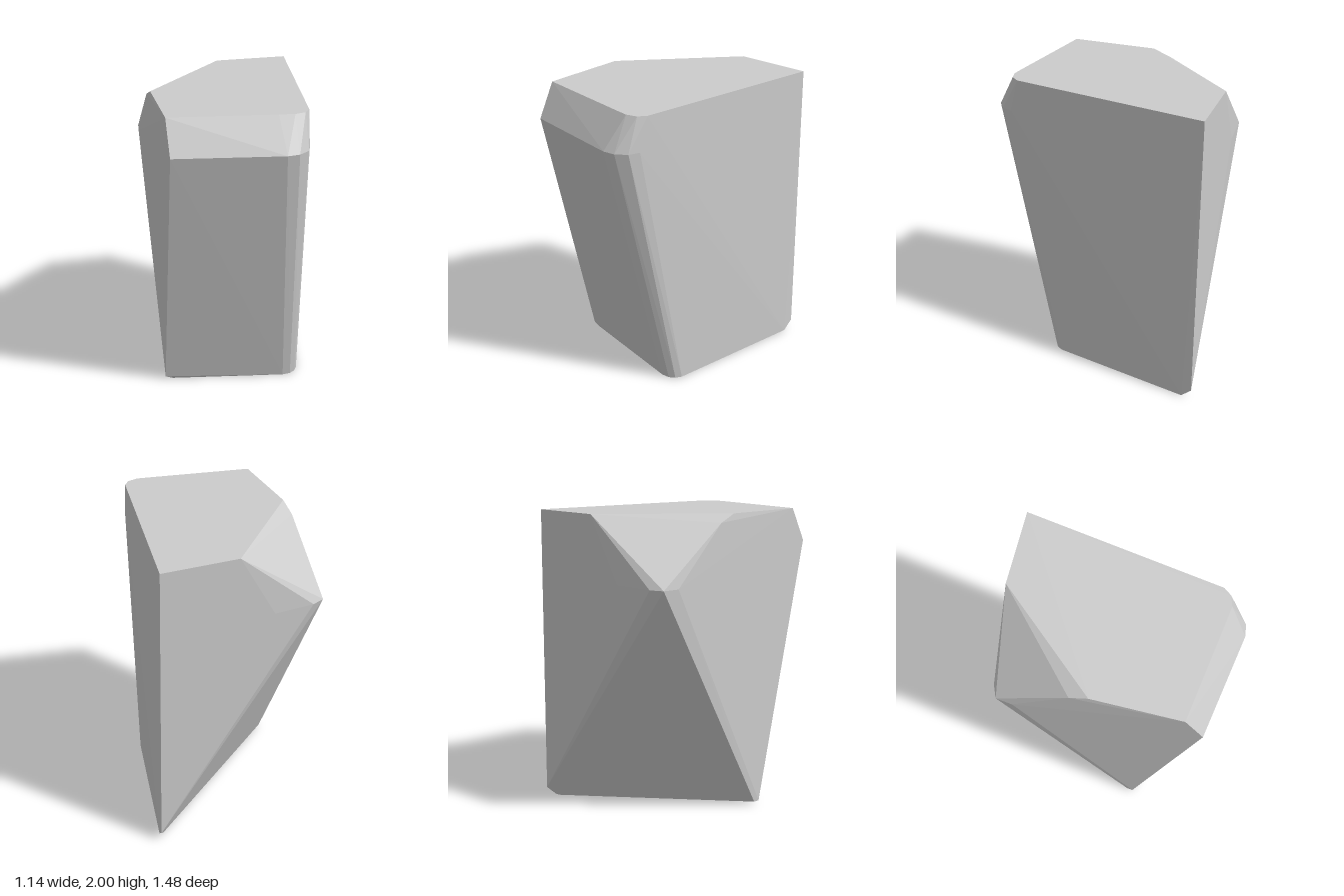
import * as THREE from 'three';
import { ConvexGeometry } from 'three/addons/geometries/ConvexGeometry.js';

// Corners at one height, given as [x, z] pairs
const ring = (y, pairs) => pairs.map(([x, z]) => new THREE.Vector3(x, y, z));

export function createModel() {
  const group = new THREE.Group();
  group.name = 'rock';

  const corners = [
    // flat top, with the back corner sliced off
    ...ring(2, [[-0.57, 0.495], [0.1, 0.605], [0.2, 0.62], [0.27, 0.6], [0.31, 0.55],
      [0.54, -0.74], [0.04, -0.74], [-0.56, -0.08]]),
    // overhanging crest along the front, rounded at the side
    ...ring(1.78, [[-0.57, 0.615], [0.12, 0.74], [0.2, 0.73], [0.27, 0.68], [0.3, 0.61]]),
    // blunt point at the back, between the upper slice and the undercut
    ...ring(1.58, [[-0.57, -0.58], [-0.555, -0.69], [-0.47, -0.725], [-0.2, -0.74]]),
    ...ring(1.95, [[-0.565, -0.2]]),
    // narrow foot
    ...ring(0.065, [[0.57, -0.74]]),
    ...ring(0.02, [[-0.57, 0.2], [-0.565, 0.16]]),
    ...ring(0, [[-0.52, 0.2], [0.24, 0.35], [0.295, 0.345], [0.335, 0.32], [0.36, 0.28],
      [0.56, -0.67], [0.53, -0.67]]),
  ];

  const material = new THREE.MeshStandardMaterial({ color: 0xcccccc, flatShading: true });
  const body = new THREE.Mesh(new ConvexGeometry(corners), material);
  body.name = 'rockBody';
  group.add(body);
  return group;
}
